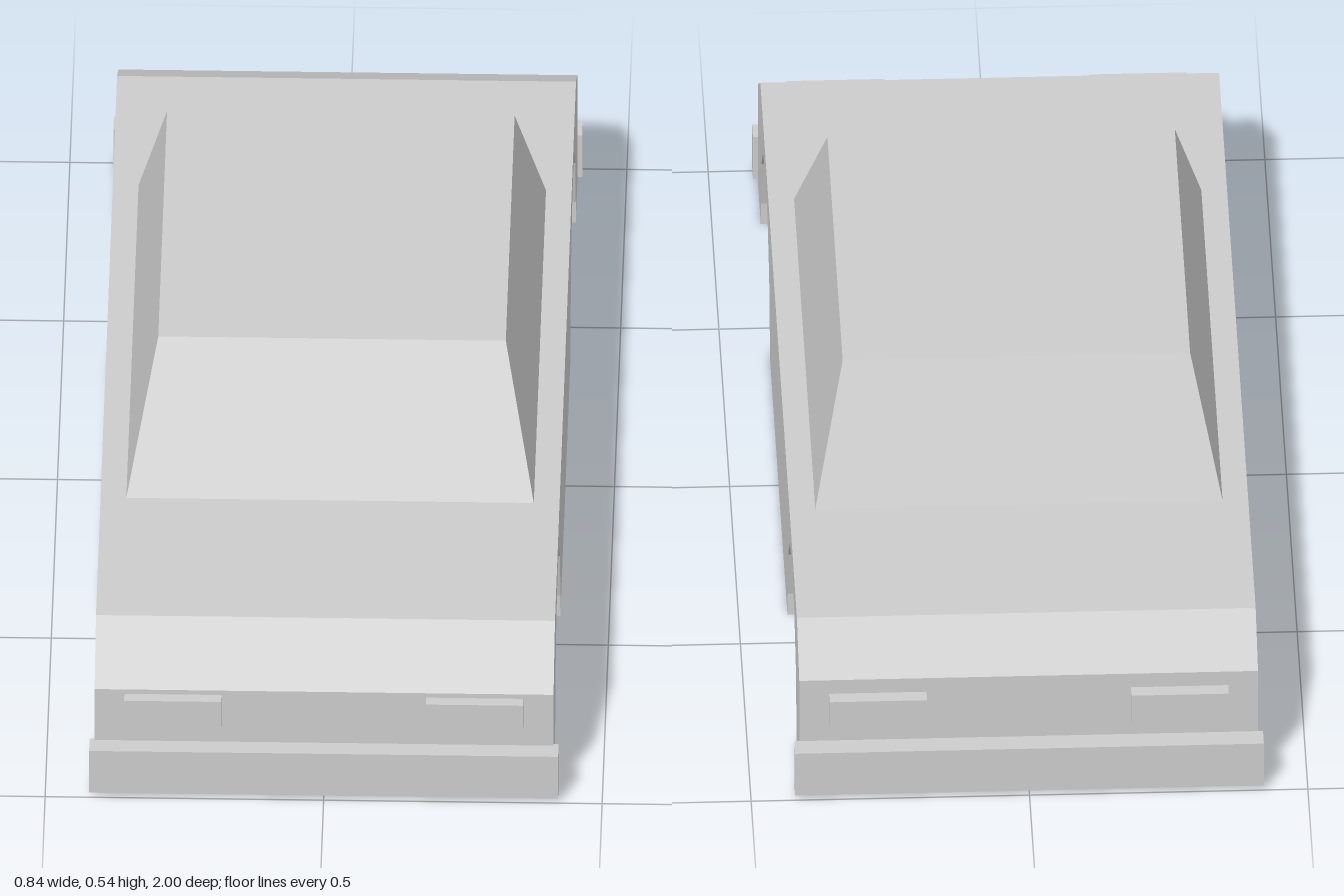
import * as THREE from 'three';

const HALF_WIDTH = 0.412, CORE = 0.262, WHEEL_Z = 0.62, ARCH_R = 0.21, ARCH_Y = 0.045;

// Side outline in (z, y); with arches, two faceted wheel openings are cut from the sill
function sideProfile(withArches) {
  const s = new THREE.Shape();
  s.moveTo(-0.96, 0);
  if (withArches) {
    for (const c of [-WHEEL_Z, WHEEL_Z]) {
      s.lineTo(c - ARCH_R, 0);
      for (let i = 6; i >= 0; i--) {
        const a = (i * Math.PI) / 6;
        s.lineTo(c + ARCH_R * Math.cos(a), ARCH_Y + ARCH_R * Math.sin(a));
      }
      s.lineTo(c + ARCH_R, 0);
    }
  }
  s.lineTo(0.965, 0);
  s.lineTo(0.965, 0.212);
  s.lineTo(0.85, 0.294);
  s.lineTo(-0.85, 0.294);
  s.lineTo(-0.96, 0.232);
  s.closePath();
  return s;
}

// Extrude a side outline across the car between two x positions
function slab(shape, x0, x1) {
  const g = new THREE.ExtrudeGeometry(shape, { depth: x1 - x0, bevelEnabled: false });
  g.rotateY(-Math.PI / 2);
  g.translate(x1, 0, 0);
  return g;
}

// Tapered cabin: a box whose upper corners are drawn inward
function cabinGeometry() {
  const g = new THREE.BoxGeometry(1, 1, 1).toNonIndexed();
  const p = g.attributes.position;
  for (let i = 0; i < p.count; i++) {
    const top = p.getY(i) > 0;
    const front = p.getZ(i) > 0;
    const x = Math.sign(p.getX(i)) * (top ? 0.312 : 0.366);
    const z = front ? (top ? 0.32 : 0.48) : (top ? -0.39 : -0.507);
    p.setXYZ(i, x, top ? 0.537 : 0.293, z);
  }
  g.computeVertexNormals();
  return g;
}

export function createModel() {
  const group = new THREE.Group();
  group.name = 'carBody';
  const grey = new THREE.MeshStandardMaterial({ color: 0xcccccc, flatShading: true });
  grey.name = 'bodyGrey';

  const add = (name, geometry, x = 0, y = 0, z = 0) => {
    const m = new THREE.Mesh(geometry, grey);
    m.name = name;
    m.position.set(x, y, z);
    group.add(m);
  };

  // Lower body: solid centre with a fender slab on each side
  add('centreBody', slab(sideProfile(false), -CORE, CORE));
  add('leftSide', slab(sideProfile(true), CORE, HALF_WIDTH));
  add('rightSide', slab(sideProfile(true), -HALF_WIDTH, -CORE));
  add('cabin', cabinGeometry());

  // Bumpers and lamps at both ends
  for (const [end, dir] of [['front', 1], ['rear', -1]]) {
    add(end + 'Bumper', new THREE.BoxGeometry(0.842, 0.091, 0.04), 0, 0.0555, dir * 0.98);
    for (const [side, sx] of [['Left', 1], ['Right', -1]]) {
      add(end + side + 'Lamp', new THREE.BoxGeometry(0.175, 0.063, 0.03), sx * 0.271, 0.171, dir * 0.972);
    }
  }
  return group;
}
